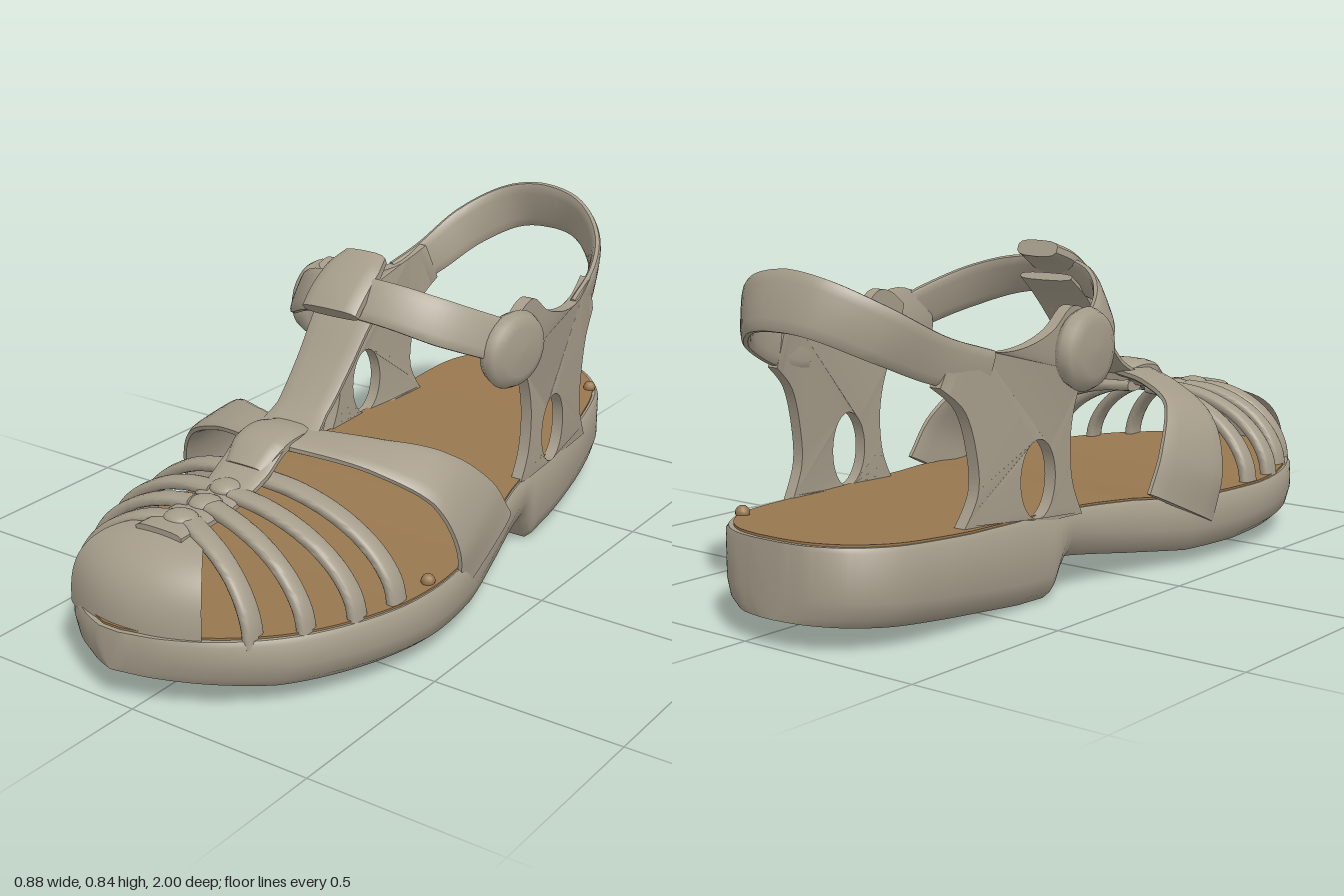
import * as THREE from 'three';
import { toCreasedNormals } from 'three/addons/utils/BufferGeometryUtils.js';
import { ParametricGeometry } from 'three/addons/geometries/ParametricGeometry.js';

const V = (x, y, z) => new THREE.Vector3(x, y, z);
const lerp = THREE.MathUtils.lerp;
const MID = -0.04; // centre line of the upper

// Piecewise-linear lookup in a table of [key, value]
function along(table, k) {
  for (let i = 1; i < table.length; i++) {
    const [a, va] = table[i - 1], [b, vb] = table[i];
    if (k <= b) return lerp(va, vb, Math.max(0, (k - a) / (b - a)));
  }
  return table[table.length - 1][1];
}

// Solid through a list of rings, each counter-clockwise about the travel direction
function loft(rings) {
  const n = rings[0].length, pos = [], idx = [];
  rings.forEach(r => r.forEach(p => pos.push(p.x, p.y, p.z)));
  for (let i = 0; i < rings.length - 1; i++)
    for (let j = 0; j < n; j++) {
      const a = i * n + j, b = i * n + (j + 1) % n;
      idx.push(a, b, a + n, b, b + n, a + n);
    }
  const e = (rings.length - 1) * n;
  for (let j = 1; j < n - 1; j++) idx.push(0, j + 1, j, e, e + j, e + j + 1);
  const g = new THREE.BufferGeometry();
  g.setAttribute('position', new THREE.Float32BufferAttribute(pos, 3));
  g.setIndex(idx);
  return toCreasedNormals(g, 0.75);
}

// Rounded band along a path, facing away from a centre point
function band(points, widths, thick, centre, steps = 32) {
  const curve = new THREE.CatmullRomCurve3(points), rings = [];
  const table = widths.map((w, i) => [i / (widths.length - 1), w]);
  const soft = v => Math.sign(v) * Math.pow(Math.abs(v), 0.65);
  for (let i = 0; i <= steps; i++) {
    const t = i / steps, p = curve.getPoint(t), T = curve.getTangent(t);
    const N = p.clone().sub(centre || V(MID, 0.1, p.z));
    N.addScaledVector(T, -N.dot(T)).normalize();
    const B = T.clone().cross(N), w = along(table, t) / 2, ring = [];
    for (let j = 0; j < 14; j++) {
      const a = j / 14 * Math.PI * 2;
      ring.push(p.clone().addScaledVector(N, soft(Math.cos(a)) * thick / 2).addScaledVector(B, soft(Math.sin(a)) * w));
    }
    rings.push(ring);
  }
  return loft(rings);
}

// Sole plan: z, -x edge, +x edge
const PLAN = [[-1, -0.13, -0.02], [-0.985, -0.2, 0.05], [-0.94, -0.27, 0.12], [-0.85, -0.325, 0.19], [-0.7, -0.343, 0.24],
  [-0.5, -0.34, 0.28], [-0.3, -0.335, 0.305], [-0.15, -0.34, 0.33], [0, -0.37, 0.37], [0.2, -0.42, 0.42], [0.4, -0.44, 0.437],
  [0.6, -0.427, 0.4], [0.78, -0.36, 0.315], [0.9, -0.265, 0.2], [0.97, -0.17, 0.08], [1, -0.1, -0.02]];
const TOP = [[-1, 0.245], [-0.6, 0.222], [-0.2, 0.21], [0, 0.2], [0.2, 0.18], [0.5, 0.175], [1, 0.19]];
const BOTTOM = [[-1, 0.065], [-0.6, 0.025], [-0.4, 0.004], [-0.29, 0], [-0.25, 0.075], [-0.22, 0.09], [0, 0.06], [0.2, 0.037],
  [0.4, 0.035], [0.8, 0.055], [1, 0.085]];
const edgeX = (z, side) => along(PLAN.map(r => [r[0], side < 0 ? r[1] : r[2]]), z);

function planRows() {
  const left = new THREE.CatmullRomCurve3(PLAN.map(r => V(r[1], 0, r[0])));
  const right = new THREE.CatmullRomCurve3(PLAN.map(r => V(r[2], 0, r[0])));
  const n = (PLAN.length - 1) * 8, rows = [];
  for (let i = 0; i <= n; i++) {
    const l = left.getPoint(i / n), r = right.getPoint(i / n);
    rows.push({ z: (l.z + r.z) / 2, l: l.x, r: r.x });
  }
  return rows;
}

export function createModel() {
  const root = new THREE.Group();
  const jelly = new THREE.MeshStandardMaterial({ color: 0xa59c8a });
  jelly.name = 'stone grey rubber';
  jelly.side = THREE.DoubleSide;
  const tan = new THREE.MeshStandardMaterial({ color: 0x97774f });
  tan.name = 'tan insole';
  const add = (name, geo, mat = jelly) => {
    const m = new THREE.Mesh(geo, mat);
    m.name = name;
    root.add(m);
    return m;
  };

  // Sole with stepped heel, and the insole lying on it
  const rows = planRows();
  add('sole', loft(rows.map(({ z, l, r }) => {
    const b = along(BOTTOM, z), t = along(TOP, z);
    return [V(l + 0.035, b, z), V(r - 0.035, b, z), V(r - 0.012, b + 0.02, z), V(r, b + 0.06, z), V(r, t - 0.012, z),
      V(r - 0.01, t, z), V(l + 0.01, t, z), V(l, t - 0.012, z), V(l, b + 0.06, z), V(l + 0.012, b + 0.02, z)];
  })));
  add('insole', loft(rows.map(({ z, l, r }) => {
    const t = along(TOP, z), s = z * 0.988;
    return [V(l + 0.014, t - 0.003, s), V(r - 0.014, t - 0.003, s), V(r - 0.014, t + 0.005, s), V(l + 0.014, t + 0.005, s)];
  })), tan);
  for (const [x, z] of [[0.4, 0.38], [0.16, -0.85]]) {
    const pip = add('mouldingPip', new THREE.SphereGeometry(0.018, 10, 8), tan);
    pip.position.set(x, along(TOP, z) + 0.01, z);
  }

  // Domed toe cap
  add('toeCap', new ParametricGeometry((u, v, out) => {
    const a = v * Math.PI / 2, back = 1 - Math.cos(a), s = u * 2 - 1;
    const x0 = -0.05 + 0.2 * s, x = lerp(x0, MID + 0.085 * s, Math.pow(back, 1.3));
    const z0 = 0.982 - 1.5 * (x0 + 0.05) ** 2;
    out.set(x, 0.17 + 0.207 * Math.pow(Math.sin(a), 0.9) - 0.012 * s * s * v, lerp(z0, 0.78, Math.pow(back, 1.2)));
  }, 20, 20));

  // Fisherman straps fanning from the centre ridge, and the broad vamp straps
  const FAN = [[0.5, 0.5, 0.4, 0.062], [0.62, 0.6, 0.39, 0.058], [0.74, 0.68, 0.385, 0.055], [0.84, 0.76, 0.375, 0.06]];
  for (const side of [-1, 1]) {
    const tag = side > 0 ? 'left' : 'right';
    FAN.forEach(([zb, zt, top, w], i) => {
      const z0 = zb - (side < 0 ? 0.03 : 0), xe = edgeX(z0, side) - side * 0.025, xt = MID + side * 0.03, pts = [];
      for (let k = 0; k <= 6; k++) {
        const a = k / 6 * Math.PI / 2, c = Math.cos(a);
        pts.push(V(lerp(xt, xe, c), lerp(0.165, top, Math.sin(a)), lerp(zt, z0, Math.pow(c, 0.8))));
      }
      add(tag + 'FanStrap' + (i + 1), band(pts, [w, w * 0.9, w], 0.03));
    });
    const e = side > 0 ? 0 : -0.01;
    add(tag + 'VampStrap', band([V(side * 0.405 + e, 0.165, 0.13), V(side * 0.405 + e, 0.28, 0.18), V(side * 0.35 + e, 0.39, 0.25),
      V(side * 0.21 + e, 0.445, 0.325), V(MID + side * 0.03, 0.465, 0.39)], [0.29, 0.24, 0.17, 0.13, 0.12], 0.028));
  }

  // Centre ridge with its knuckle and bumps
  add('centreRidge', band([V(MID, 0.455, 0.33), V(MID, 0.465, 0.44), V(MID, 0.415, 0.53), V(MID, 0.378, 0.63), V(MID, 0.37, 0.84)],
    [0.15, 0.15, 0.15, 0.13, 0.14], 0.03));
  add('ridgeKnuckle', band([V(MID, 0.462, 0.34), V(MID, 0.472, 0.4), V(MID, 0.462, 0.46), V(MID, 0.418, 0.52)],
    [0.13, 0.15, 0.15, 0.12], 0.045));
  for (const z of [0.59, 0.67, 0.76]) {
    const bump = add('ridgeBump', new THREE.SphereGeometry(0.045, 16, 10));
    bump.scale.set(1, 0.45, 0.9);
    bump.position.set(MID, along([[0.59, 0.395], [0.67, 0.383], [0.76, 0.38]], z), z);
  }

  // Instep strap ending in the loop that holds the ankle strap
  const shin = V(MID, 0.2, -0.1);
  add('instepStrap', band([V(MID, 0.45, 0.37), V(MID, 0.5, 0.29), V(MID, 0.59, 0.2), V(MID, 0.69, 0.115), V(MID, 0.745, 0.05)],
    [0.19, 0.155, 0.165, 0.18, 0.17], 0.024, shin));
  add('instepLoop', band([V(MID - 0.01, 0.715, 0.155), V(MID - 0.01, 0.755, 0.115), V(MID - 0.01, 0.8, 0.05), V(MID - 0.01, 0.822, 0)],
    [0.17, 0.172, 0.165, 0.13], 0.045, shin, 16));
  add('ankleStrap', band([V(0.325, 0.61, -0.16), V(0.29, 0.655, -0.06), V(0.21, 0.705, 0.04), V(0.1, 0.74, 0.09), V(MID, 0.75, 0.1),
    V(-0.16, 0.735, 0.075), V(-0.26, 0.69, 0.0), V(-0.325, 0.65, -0.1), V(-0.355, 0.61, -0.21)], [0.11, 0.12, 0.11, 0.12, 0.11],
  0.026, V(MID, 0.45, -0.4), 48));

  // Domed buttons at both ends of the ankle strap
  const dome = [[0, 0.035], [0.07, 0.032], [0.1, 0.02], [0.112, 0], [0.1, -0.025], [0, -0.03]];
  for (const [side, x, z] of [[1, 0.315, -0.135], [-1, -0.358, -0.205]]) {
    const button = add(side > 0 ? 'leftButton' : 'rightButton',
      new THREE.LatheGeometry(dome.map(([r, y]) => new THREE.Vector2(r, y)).reverse(), 28));
    button.rotation.set(0, side > 0 ? -0.15 : 0.08, -side * Math.PI / 2);
    button.scale.set(0.92, 1, 1.02);
    button.position.set(x, 0.606, z);
  }

  // Side quarters with an oval opening, bent around the heel
  const P = (x, y) => new THREE.Vector2(x, y);
  for (const side of [-1, 1]) {
    const s = new THREE.Shape();
    s.moveTo(0.2, 0.2);
    s.splineThru([P(0.24, 0.29), P(0.247, 0.4), P(0.22, 0.5), P(0.17, 0.57)]);
    s.lineTo(0.15, 0.67);
    s.splineThru([P(0.2, 0.705), P(0.25, 0.71), P(0.32, 0.66), P(0.42, 0.63), P(0.52, 0.63), P(0.62, 0.665)]);
    s.lineTo(0.665, 0.56);
    s.splineThru([P(0.6, 0.5), P(0.568, 0.4), P(0.565, 0.3), P(0.62, 0.2)]);
    s.closePath();
    const hole = new THREE.Path();
    hole.absellipse(0.37, 0.312, 0.062, 0.096, 0, Math.PI * 2, true);
    s.holes.push(hole);
    const g = new THREE.ExtrudeGeometry(s, { depth: 0.032, bevelEnabled: false, curveSegments: 24 });
    g.rotateY(Math.PI / 2);
    const pos = g.attributes.position;
    for (let i = 0; i < pos.count; i++) {
      const d = Math.max(0, -pos.getZ(i) - 0.3);
      pos.setX(i, pos.getX(i) + (side > 0 ? 0.278 - 0.39 * d * d : -0.345 + 0.39 * d * d));
    }
    add(side > 0 ? 'leftQuarter' : 'rightQuarter', toCreasedNormals(g, 0.6));
  }

  // Sling strap around the back of the heel
  add('slingStrap', band([V(0.272, 0.585, -0.52), V(0.245, 0.622, -0.66), V(0.18, 0.69, -0.8), V(0.07, 0.745, -0.885),
    V(MID, 0.76, -0.9), V(-0.14, 0.745, -0.885), V(-0.235, 0.69, -0.8), V(-0.284, 0.622, -0.66), V(-0.312, 0.585, -0.52)],
  [0.1, 0.13, 0.145, 0.13, 0.1], 0.028, V(MID, 0.6, -0.35), 56));

  return root;
}
